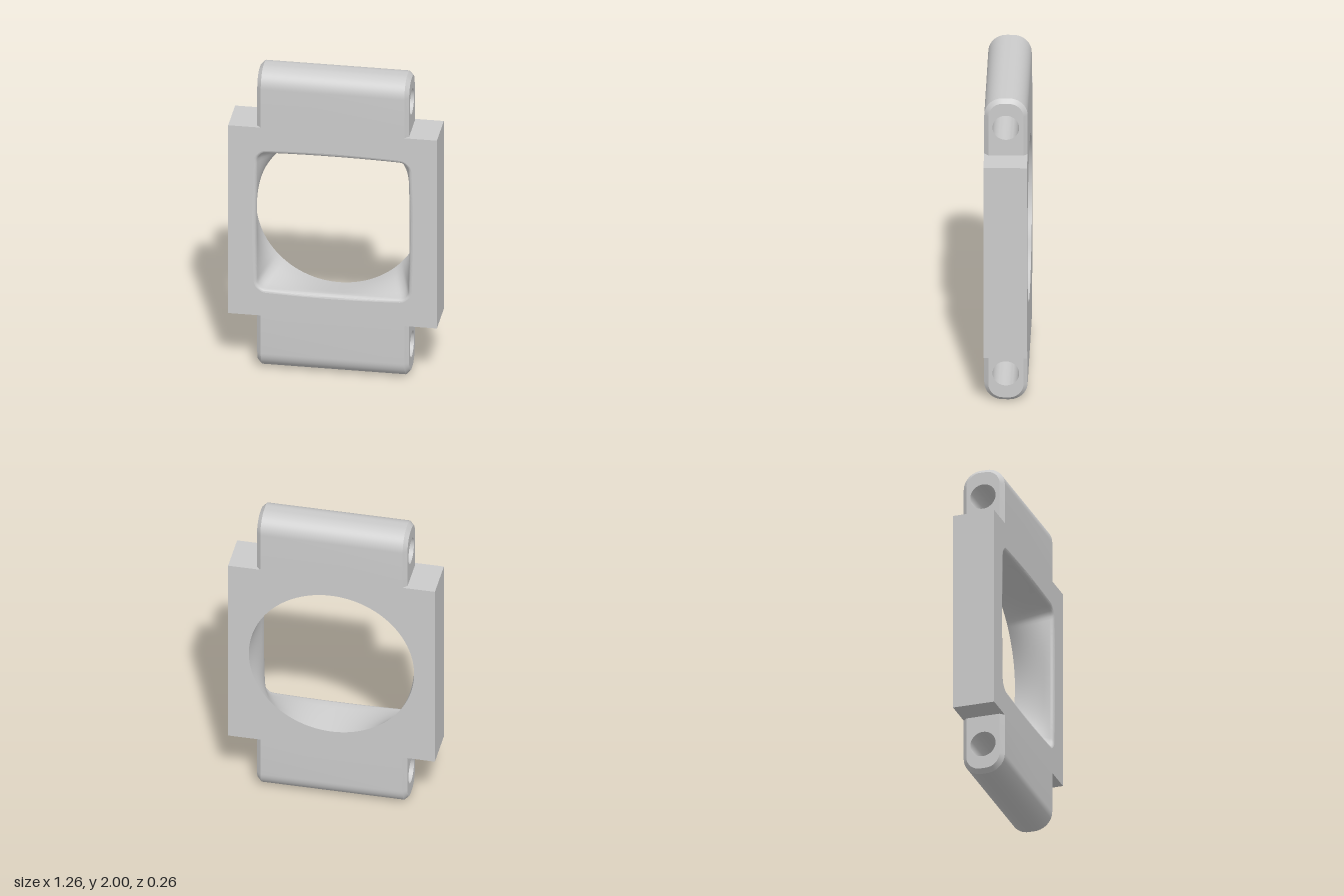
import * as THREE from 'three';
import { toCreasedNormals } from 'three/addons/utils/BufferGeometryUtils.js';

const MID = 1.0;      // height of the opening's centre
const HALF = 0.632;   // half side of the square frame
const D = 0.13;       // half depth
const SEG = 240;
const material = new THREE.MeshStandardMaterial({ color: 0xcccccc });

// Surface through successive rings of points
function loft(rings, crease = 0.5) {
  const pos = [];
  for (let j = 0; j < rings.length - 1; j++) {
    const p = rings[j], q = rings[j + 1];
    for (let i = 0; i < p.length - 1; i++) {
      for (const v of [p[i], p[i + 1], q[i + 1], p[i], q[i + 1], q[i]]) pos.push(v.x, v.y, v.z);
    }
  }
  const g = new THREE.BufferGeometry();
  g.setAttribute('position', new THREE.Float32BufferAttribute(pos, 3));
  return toCreasedNormals(g, crease);
}

function add(group, name, geometry) {
  const mesh = new THREE.Mesh(geometry, material);
  mesh.name = name;
  group.add(mesh);
  return mesh;
}

// Closed ring in the xy plane with a radius given by angle
function ring(radius, z) {
  return Array.from({ length: SEG + 1 }, (_, i) => {
    const a = ((i % SEG) / SEG) * Math.PI * 2, r = radius(a);
    return new THREE.Vector3(r * Math.cos(a), r * Math.sin(a), z);
  });
}

// Rounded square with slightly bowed sides, as a radius by angle
const roundedSquare = (h, c, bow) => (a) => {
  const s = Math.abs(Math.sin(a)), k = Math.abs(Math.cos(a));
  const u = Math.max(s, k), v = Math.min(s, k), m = h - c;
  const r = (h * v) / u <= m ? h / u : m * (u + v) + Math.sqrt(c * c - (m * (u - v)) ** 2);
  return r * (1 - bow * (v / u) ** 2);
};

// Square plate with the given ring cut out
function plate(hole) {
  const s = new THREE.Shape([[-1, -1], [1, -1], [1, 1], [-1, 1]].map(([x, y]) => new THREE.Vector2(x * HALF, y * HALF)));
  s.holes.push(new THREE.Path(hole.slice(0, -1).map((p) => new THREE.Vector2(p.x, p.y))));
  return new THREE.ShapeGeometry(s);
}

// Arched end outline of a lug, inset by d, as [z, y] pairs
function lugOutline(d) {
  const w = D - d, top = 1 - d, r = 0.112 - d, pts = [[w, HALF]];
  for (const [side, start] of [[1, 0], [-1, Math.PI / 2]]) {
    for (let i = 0; i <= 12; i++) {
      const a = start + (i / 12) * Math.PI / 2;
      pts.push([side * (w - r) + r * Math.cos(a), top - r + r * Math.sin(a)]);
    }
  }
  pts.push([-w, HALF]);
  return pts;
}

function createLug(name) {
  const lug = new THREE.Group();
  lug.name = name;
  const at = (pts, x) => pts.map(([z, y]) => new THREE.Vector3(x, y, z));
  const outer = lugOutline(0), inner = lugOutline(0.025);
  const X = 0.46, C = 0.435, boreY = 0.816, boreR = 0.08;

  // Rounded body with chamfered ends
  add(lug, 'lugBody', loft([at(inner, X), at(outer, C), at(outer, -C), at(inner, -X)]));

  // Pin bore running through the lug
  const circle = Array.from({ length: 49 }, (_, i) => {
    const a = (i / 48) * Math.PI * 2;
    return [boreR * Math.cos(a), boreY + boreR * Math.sin(a)];
  });
  add(lug, 'pinBore', loft([at(circle, -X), at(circle, X)]));

  // End faces
  const face = new THREE.Shape(inner.map(([z, y]) => new THREE.Vector2(z, y)));
  face.holes.push(new THREE.Path(circle.slice(0, -1).map(([z, y]) => new THREE.Vector2(z, y))));
  for (const side of [1, -1]) {
    const end = add(lug, 'lugEnd', new THREE.ShapeGeometry(face));
    end.rotation.y = side * Math.PI / 2;
    end.position.x = side * X;
  }
  return lug;
}

export function createModel() {
  const model = new THREE.Group();
  model.name = 'adapterFrame';
  const body = new THREE.Group();
  body.name = 'body';
  body.position.y = MID;
  model.add(body);

  // Opening: filleted square mouth blending to a round hole at the back
  const rings = [];
  for (let i = 0; i <= 5; i++) {
    const t = (1 - i / 5) * Math.PI / 2, cos = Math.cos(t);
    rings.push(ring(roundedSquare(0.488 - 0.025 * cos, 0.07 - 0.02 * cos, 0.03 - 0.012 * cos), 0.105 + 0.025 * Math.sin(t)));
  }
  const mouth = rings[rings.length - 1], back = ring(() => 0.505, -D);
  for (let j = 1; j <= 6; j++) rings.push(mouth.map((p, i) => p.clone().lerp(back[i], j / 6)));
  add(body, 'opening', loft(rings, 0.6));

  // Front and back plates
  add(body, 'frontPlate', plate(rings[0])).position.z = D;
  const rear = add(body, 'backPlate', plate(back));
  rear.rotation.y = Math.PI;
  rear.position.z = -D;

  // Side walls with the ledges beside the lugs
  const wall = (z) => [[0.435, HALF], [HALF, HALF], [HALF, -HALF], [0.435, -HALF]].map(([x, y]) => new THREE.Vector3(x, y, z));
  const sideWall = loft([wall(D), wall(-D)]);
  add(body, 'leftWall', sideWall);
  add(body, 'rightWall', sideWall).rotation.z = Math.PI;

  // Hinge lugs above and below
  body.add(createLug('topLug'));
  const bottom = createLug('bottomLug');
  bottom.rotation.x = Math.PI;
  body.add(bottom);
  return model;
}
